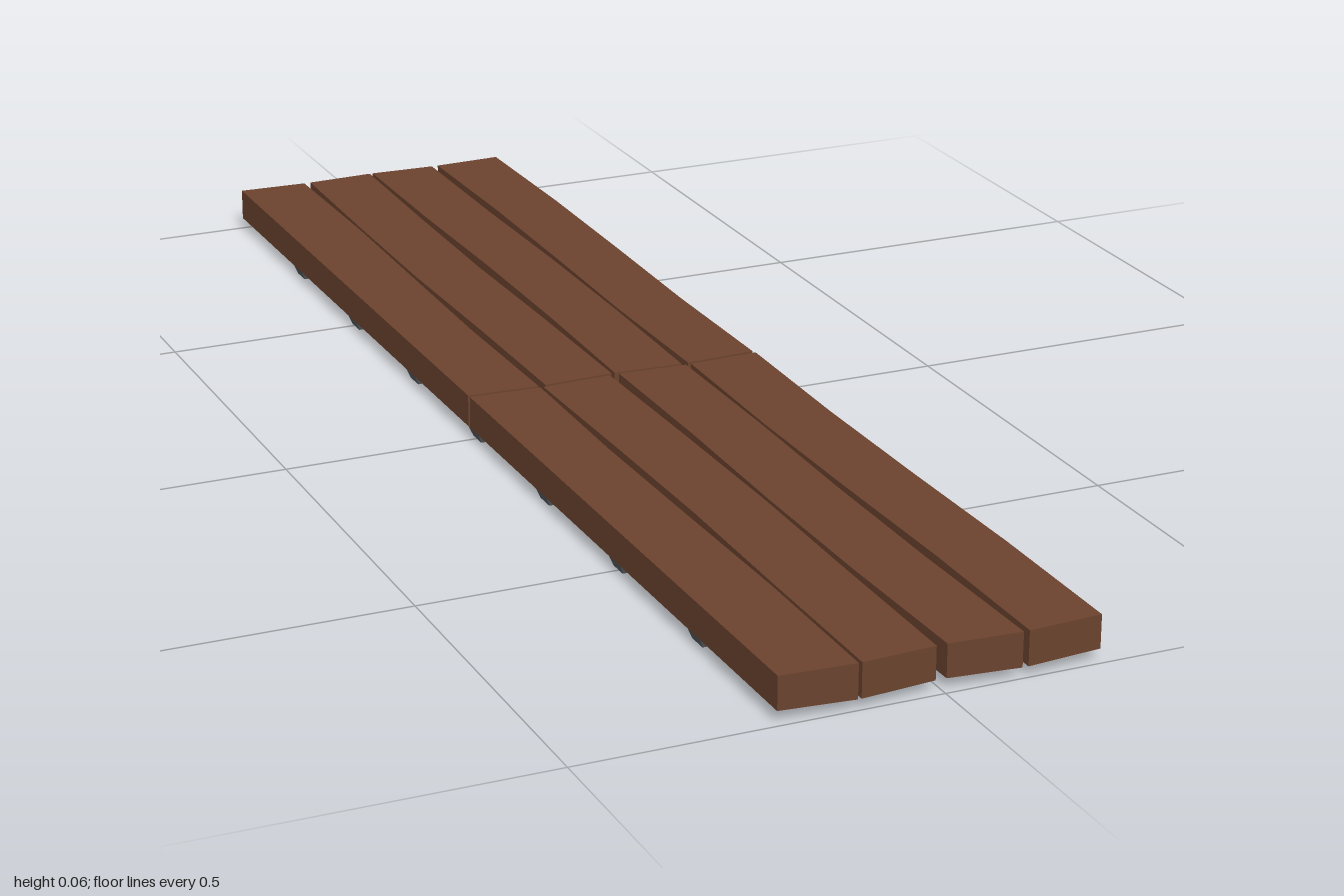
import * as THREE from 'three';

export function createModel() {
  const model = new THREE.Group();
  const wood = new THREE.MeshStandardMaterial({ color: 0x6b432e, flatShading: true });
  wood.name = 'brown wood';
  const iron = new THREE.MeshStandardMaterial({ color: 0x53575c, flatShading: true });
  iron.name = 'grey iron';

  // Moves every vertex of a geometry by a rule
  const reshape = (geometry, rule) => {
    const p = geometry.attributes.position;
    const v = new THREE.Vector3();
    for (let i = 0; i < p.count; i++) {
      rule(v.fromBufferAttribute(p, i));
      p.setXYZ(i, v.x, v.y, v.z);
    }
    geometry.computeVertexNormals();
    return geometry;
  };

  const add = (name, geometry, material) => {
    const mesh = new THREE.Mesh(geometry, material);
    mesh.name = name;
    model.add(mesh);
  };

  // Two rows of four planks, with slanted ends and slightly uneven sides
  const columns = [[-0.223, -0.12], [-0.112, -0.006], [0.004, 0.104], [0.113, 0.22]];
  const rows = [[-1, -0.008], [-0.002, 0.995]];
  rows.forEach(([back, front], row) => columns.forEach(([left, right], col) => {
    const slant = col % 2 ? -1 : 1;
    const geometry = reshape(new THREE.BoxGeometry(1, 1, 1, 1, 1, 4), (v) => {
      const side = Math.sign(v.x);
      const t = v.z + 0.5;
      const wave = col === 0 && side < 0 ? 0 : 0.003 * Math.sin(t * 6.3 + col * 2 + row * 3);
      v.x = (side < 0 ? left : right) + wave;
      v.y = v.y < 0 ? 0.015 : 0.0625 + 0.001 * side * slant;
      v.z = back + (front - back) * t + 0.005 * slant * side;
    });
    add('plank', geometry, wood);
  }));

  // Crossbars under the planks, tapering towards the ground
  for (let i = -3; i <= 3; i++) {
    const geometry = reshape(new THREE.BoxGeometry(1, 1, 1), (v) => {
      const low = v.y < 0;
      v.x = Math.sign(v.x) * (low ? 0.216 : 0.222);
      v.y = low ? 0 : 0.0155;
      v.z = Math.sign(v.z) * (low ? 0.015 : 0.02) + i * 0.248 + 0.002;
    });
    add('crossbar', geometry, iron);
  }
  return model;
}
